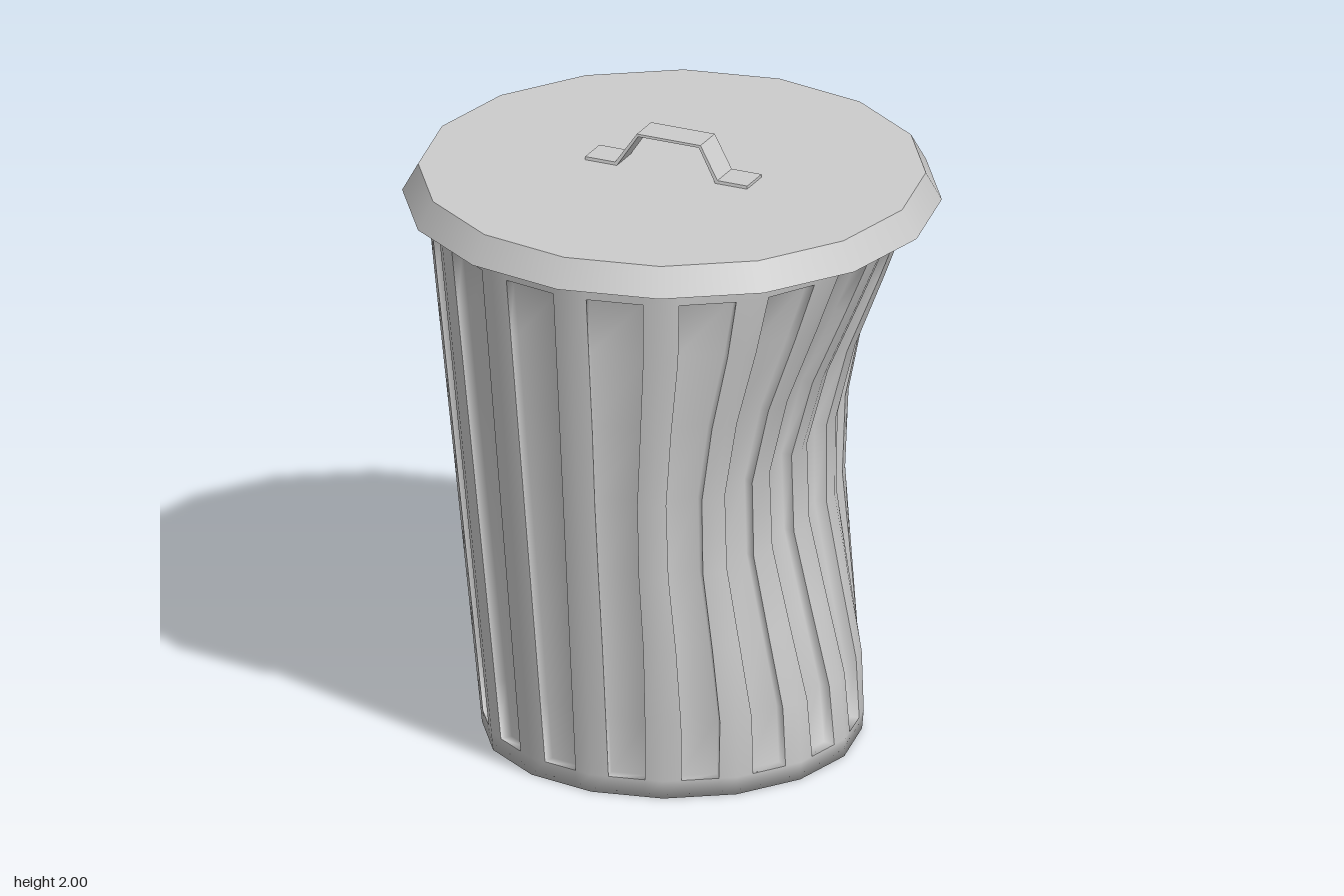
import * as THREE from 'three';
import { mergeVertices } from 'three/addons/utils/BufferGeometryUtils.js';

const SIDES = 16, TOP = 1.795, R_BOTTOM = 0.595, R_TOP = 0.77;
const INSET = 0.058, DEPTH = 0.04;
const PANEL_LOW = 0.06, PANEL_HIGH = 1.74;

// Collects quads and triangles, then welds them into one smooth surface
function surface() {
  const pos = [];
  const tri = (...pts) => pts.forEach((p) => pos.push(p.x, p.y, p.z));
  return {
    tri,
    quad(a, b, c, d) { tri(a, b, c); tri(a, c, d); },
    build() {
      const g = new THREE.BufferGeometry();
      g.setAttribute('position', new THREE.Float32BufferAttribute(pos, 3));
      const welded = mergeVertices(g, 1e-4);
      welded.computeVertexNormals();
      return welded;
    },
  };
}

// Pushes points near the middle of the +x side inward, with a smooth falloff
const DENT_CENTRE = new THREE.Vector3(0.69, 1.0, 0);
function dent(p) {
  const t = Math.max(0, 1 - p.distanceTo(DENT_CENTRE));
  const f = t * t * (3 - 2 * t);
  p.x -= 0.235 * f;
  p.z += 0.025 * f;
  return p;
}

// Point on side k: column 0..3 (corner, panel edge, panel edge, corner)
function wallPoint(k, column, y, depth = 0) {
  const r = R_BOTTOM + (R_TOP - R_BOTTOM) * (y / TOP);
  const corner = (i) => {
    const a = ((i % SIDES) / SIDES) * Math.PI * 2;
    return new THREE.Vector3(r * Math.sin(a), y, r * Math.cos(a));
  };
  const a = corner(k), b = corner(k + 1);
  const s = INSET / a.distanceTo(b);
  const p = a.lerp(b, [0, s, 1 - s, 1][column]);
  const mid = ((k + 0.5) / SIDES) * Math.PI * 2;
  p.x -= depth * Math.sin(mid);
  p.z -= depth * Math.cos(mid);
  return dent(p);
}

export function createModel() {
  const model = new THREE.Group();
  const material = new THREE.MeshStandardMaterial({ color: 0xcccccc, side: THREE.DoubleSide });
  const add = (geometry, name) => {
    const mesh = new THREE.Mesh(geometry, material);
    mesh.name = name;
    model.add(mesh);
    return mesh;
  };

  // Heights of the panel rows, and of the whole wall
  const panelRows = [PANEL_LOW];
  for (let i = 1; i < 7; i++) panelRows.push((TOP * i) / 7);
  panelRows.push(PANEL_HIGH);
  const wallRows = [0, ...panelRows, TOP];

  // Ribs, rims and base; the panel openings are left out
  const shell = surface();
  const centre = new THREE.Vector3(0, 0, 0);
  for (let k = 0; k < SIDES; k++) {
    for (let j = 0; j < wallRows.length - 1; j++) {
      const y0 = wallRows[j], y1 = wallRows[j + 1];
      for (let c = 0; c < 3; c++) {
        if (c === 1 && j > 0 && j < wallRows.length - 2) continue;
        shell.quad(wallPoint(k, c, y0), wallPoint(k, c + 1, y0),
          wallPoint(k, c + 1, y1), wallPoint(k, c, y1));
      }
    }
    for (let c = 0; c < 3; c++) shell.tri(centre, wallPoint(k, c + 1, 0), wallPoint(k, c, 0));
  }
  add(shell.build(), 'canBody');

  // Recessed panels between the ribs
  const panels = new THREE.Group();
  panels.name = 'recessedPanels';
  model.add(panels);
  for (let k = 0; k < SIDES; k++) {
    const s = surface();
    const rim = (c, y) => wallPoint(k, c, y);
    const floor = (c, y) => wallPoint(k, c, y, DEPTH);
    for (let j = 0; j < panelRows.length - 1; j++) {
      const y0 = panelRows[j], y1 = panelRows[j + 1];
      s.quad(floor(1, y0), floor(2, y0), floor(2, y1), floor(1, y1));
      s.quad(rim(1, y0), floor(1, y0), floor(1, y1), rim(1, y1));
      s.quad(floor(2, y0), rim(2, y0), rim(2, y1), floor(2, y1));
    }
    s.quad(rim(1, PANEL_LOW), rim(2, PANEL_LOW), floor(2, PANEL_LOW), floor(1, PANEL_LOW));
    s.quad(floor(1, PANEL_HIGH), floor(2, PANEL_HIGH), rim(2, PANEL_HIGH), rim(1, PANEL_HIGH));
    const panel = new THREE.Mesh(s.build(), material);
    panel.name = 'panel';
    panels.add(panel);
  }

  // Lid with a sloping rim
  add(new THREE.CylinderGeometry(0.795, 0.845, 0.09, SIDES), 'lid').position.y = 1.845;

  // Bent strap handle, leaning slightly to the back
  const upper = [[-0.275, 1.9], [-0.172, 1.9], [-0.105, 2], [0.115, 2], [0.182, 1.9], [0.285, 1.9]];
  const lower = [[0.285, 1.89], [0.175, 1.89], [0.11, 1.992], [-0.1, 1.992], [-0.165, 1.89], [-0.275, 1.89]];
  const outline = new THREE.Shape([...upper, ...lower].map(([x, y]) => new THREE.Vector2(x, y)));
  const strap = new THREE.ExtrudeGeometry(outline, { depth: 0.105, bevelEnabled: false });
  const p = strap.attributes.position;
  for (let i = 0; i < p.count; i++) p.setZ(i, p.getZ(i) - 0.05 - 0.18 * (p.getY(i) - 1.89));
  strap.computeVertexNormals();
  add(strap, 'handle');

  return model;
}
